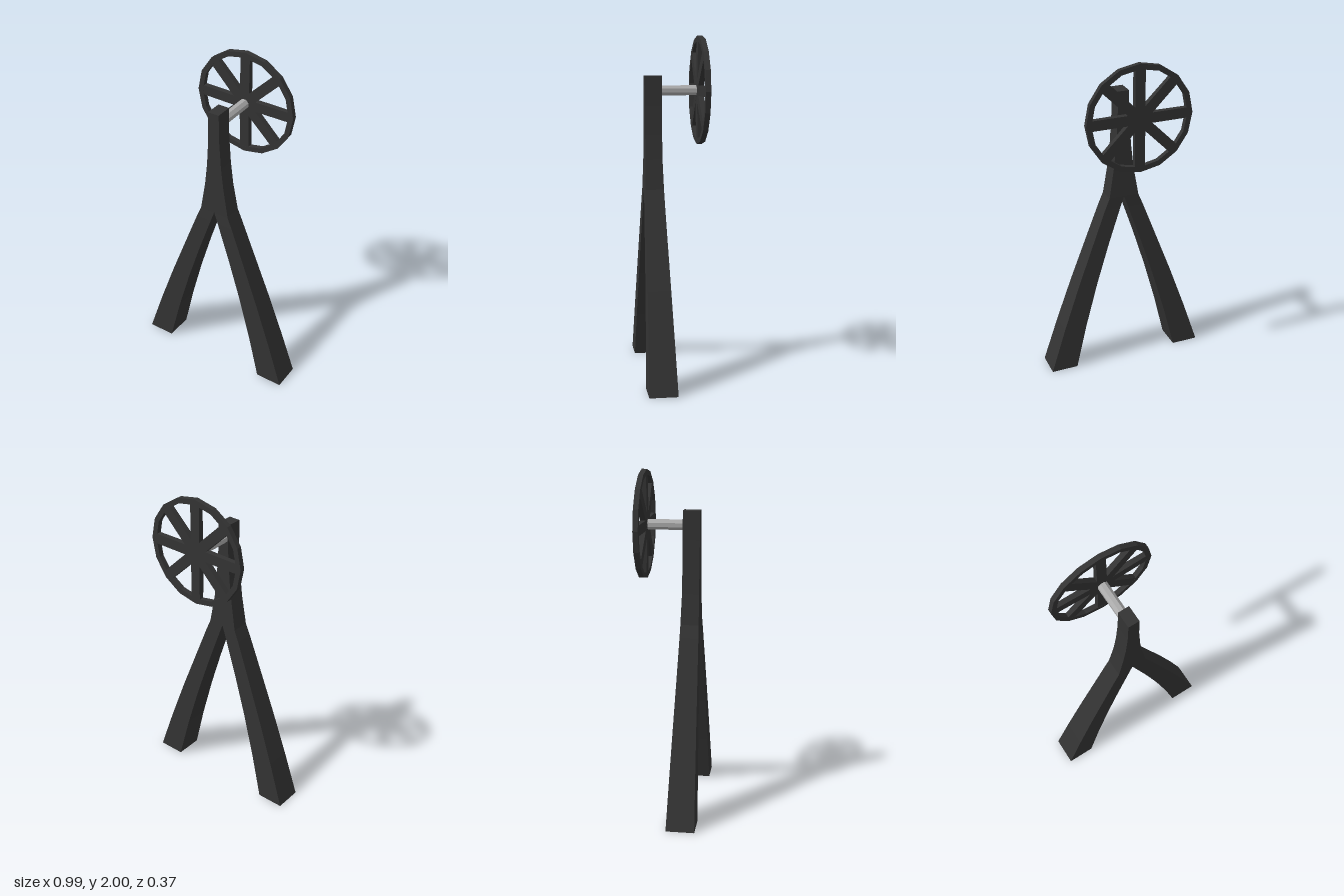
import * as THREE from 'three';

const iron = new THREE.MeshStandardMaterial({ color: 0x333333 });
iron.name = 'dark iron';
const steel = new THREE.MeshStandardMaterial({ color: 0xaaaaaa });
steel.name = 'pale steel';

// Faceted normals for a geometry
function facet(geometry) {
  const g = geometry.index ? geometry.toNonIndexed() : geometry;
  g.computeVertexNormals();
  return g;
}

// Closed beam through rectangular sections [y, x0, x1, zBack, zFront], bottom to top
function beam(sections) {
  const pos = [], idx = [];
  for (const [y, x0, x1, zb, zf] of sections) {
    pos.push(x0, y, zf, x1, y, zf, x1, y, zb, x0, y, zb);
  }
  const quad = (a, b, c, d) => idx.push(a, b, c, a, c, d);
  for (let i = 0; i < sections.length - 1; i++) {
    for (let k = 0; k < 4; k++) {
      const a = i * 4 + k, b = i * 4 + (k + 1) % 4;
      quad(a, b, b + 4, a + 4);
    }
  }
  const t = (sections.length - 1) * 4;
  quad(3, 2, 1, 0);
  quad(t, t + 1, t + 2, t + 3);
  const g = new THREE.BufferGeometry();
  g.setAttribute('position', new THREE.Float32BufferAttribute(pos, 3));
  g.setIndex(idx);
  return facet(g);
}

function add(parent, name, geometry, material) {
  const mesh = new THREE.Mesh(geometry, material);
  mesh.name = name;
  parent.add(mesh);
  return mesh;
}

export function createModel() {
  const model = new THREE.Group();
  model.name = 'wheelStand';

  // Splayed legs, tapering upwards
  const leg = [
    [0, 0.332, 0.495, 0.02, 0.185],
    [0.28, 0.263, 0.403, 0.028, 0.178],
    [0.56, 0.184, 0.304, 0.036, 0.171],
    [0.81, 0.105, 0.21, 0.043, 0.165],
    [1.045, 0.025, 0.121, 0.049, 0.159],
    [1.115, 0, 0.092, 0.05, 0.157],
  ];
  add(model, 'leftLeg', beam(leg), iron);
  add(model, 'rightLeg', beam(leg.map(([y, a, b, zb, zf]) => [y, -b, -a, zb, zf])), iron);

  // Upright where the legs join
  const post = [[1.115, 0.092, 0.05, 0.157], [1.29, 0.063, 0.055, 0.154],
    [1.43, 0.047, 0.055, 0.154], [1.6, 0.036, 0.055, 0.154], [1.77, 0.034, 0.055, 0.154]];
  add(model, 'post', beam(post.map(([y, w, zb, zf]) => [y, -w, w, zb, zf])), iron);

  // Axle from post to wheel
  const axle = new THREE.CylinderGeometry(0.031, 0.031, 0.23, 8);
  axle.rotateY(Math.PI / 8).rotateX(Math.PI / 2).translate(0, 1.685, -0.055);
  add(model, 'axle', facet(axle), steel);

  // Sixteen-sided wheel behind the post
  const wheel = new THREE.Group();
  wheel.name = 'wheel';
  wheel.position.set(0, 1.685, -0.186);
  model.add(wheel);
  const ring = (r) => Array.from({ length: 16 }, (_, i) =>
    new THREE.Vector2(r * Math.cos(i * Math.PI / 8), r * Math.sin(i * Math.PI / 8)));
  const rim = new THREE.Shape(ring(0.315));
  rim.holes.push(new THREE.Path(ring(0.284).reverse()));
  add(wheel, 'rim', facet(new THREE.ExtrudeGeometry(rim, { depth: 0.03, bevelEnabled: false })), iron);

  // Four full-width bars make eight spokes, thickest at the hub
  for (let i = 0; i < 4; i++) {
    const bar = new THREE.BoxGeometry(0.584, 0.06, 0.029, 2, 1, 1).translate(0, 0, 0.0145);
    const p = bar.attributes.position;
    for (let v = 0; v < p.count; v++) {
      if (Math.abs(p.getX(v)) < 0.01 && p.getZ(v) > 0.01) p.setZ(v, 0.035);
    }
    add(wheel, 'spokePair', facet(bar), iron).rotation.z = i * Math.PI / 4;
  }
  return model;
}
